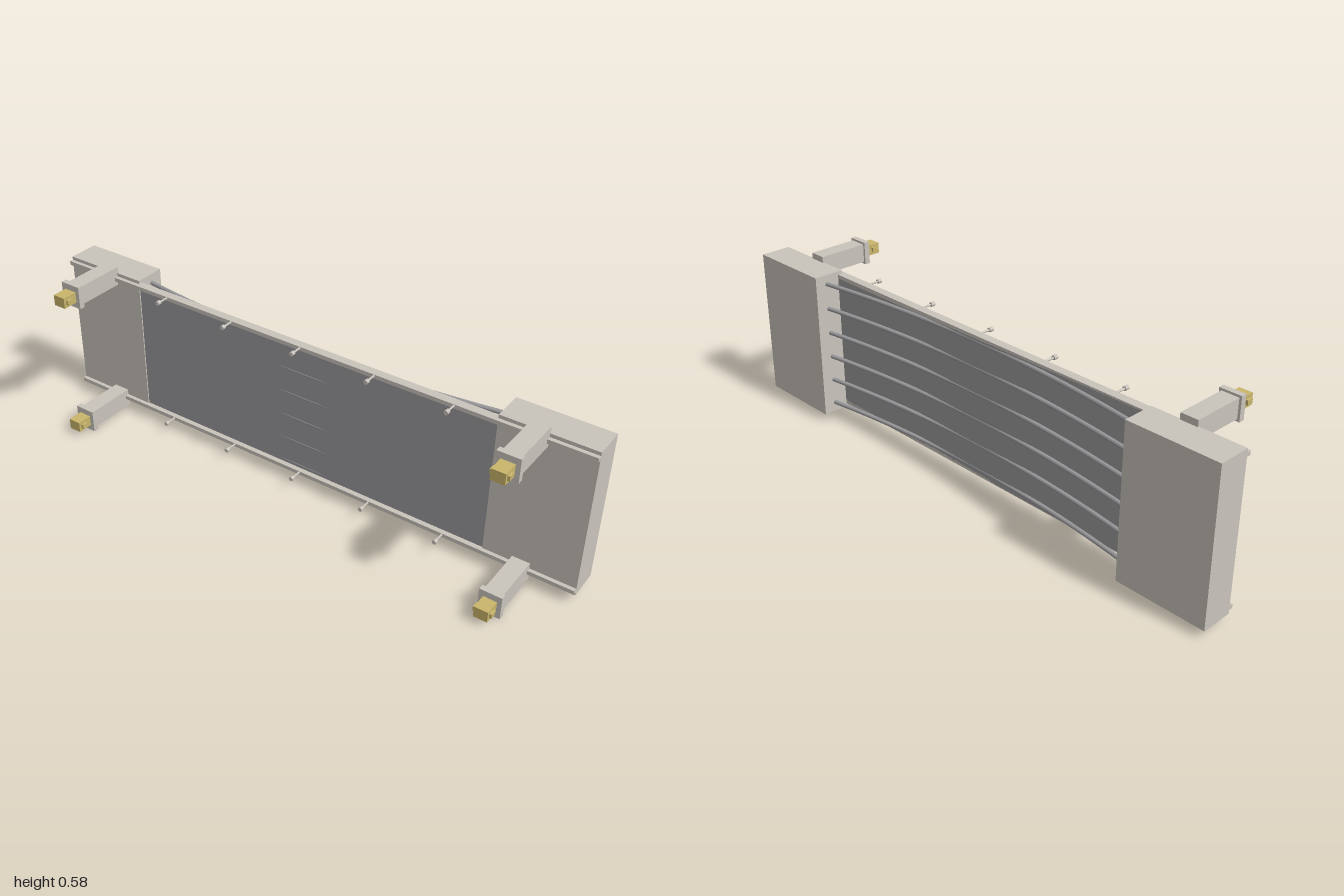
import * as THREE from 'three';

export function createModel() {
  const model = new THREE.Group();
  const mat = (name, color) => Object.assign(new THREE.MeshStandardMaterial({ color }), { name });
  const beige = mat('warm beige', 0xc9c4bc);
  const grey = mat('panel grey', 0x9a9a9d);
  const gold = mat('gold', 0xc8b56b);

  const add = (name, geometry, material, parent = model) => {
    const mesh = new THREE.Mesh(geometry, material);
    mesh.name = name;
    parent.add(mesh);
    return mesh;
  };
  // Box given by its lower and upper limits on each axis
  const box = (name, material, [x0, x1], [y0, y1], [z0, z1], parent) =>
    add(name, new THREE.BoxGeometry(x1 - x0, y1 - y0, z1 - z0), material, parent)
      .position.set((x0 + x1) / 2, (y0 + y1) / 2, (z0 + z1) / 2);

  // Flat panel between the end blocks
  box('panel', grey, [-0.686, 0.686], [0.045, 0.54], [-0.086, -0.074]);

  // End blocks
  for (const s of [-1, 1]) {
    const x = s * 0.843;
    box('endBlock', beige, [x - 0.157, x + 0.157], [0.03, 0.556], [-0.18, -0.07]);
  }

  // Bowed rods behind the panel, sunk into it at mid span
  const points = [];
  for (let i = -8; i <= 8; i++) {
    const t = i / 8;
    points.push(new THREE.Vector3(t * 0.7, 0, -0.08 - 0.056 * t * t));
  }
  const rod = new THREE.TubeGeometry(new THREE.CatmullRomCurve3(points), 32, 0.0075, 12);
  for (let i = 0; i < 6; i++) {
    add('rod', rod, grey).position.y = 0.065 + i * 0.0915;
  }

  // Long rails with a row of small headed pins
  const stem = new THREE.CylinderGeometry(0.0035, 0.0035, 0.045, 10).rotateX(Math.PI / 2);
  const head = new THREE.CylinderGeometry(0.0075, 0.0075, 0.014, 12).rotateX(Math.PI / 2);
  for (const y of [0.049, 0.537]) {
    box('rail', beige, [-1, 1], [y - 0.007, y + 0.007], [-0.086, -0.056]);
    for (let i = -2; i <= 2; i++) {
      const pin = new THREE.Group();
      pin.name = 'pin';
      pin.position.set(i * 0.275, y + 0.003, 0);
      add('pinStem', stem, beige, pin).position.z = -0.038;
      add('pinHead', head, beige, pin).position.z = -0.015;
      model.add(pin);
    }
  }

  // Four posts with collar, gold tip and cross pin
  for (const x of [-0.816, 0.816]) {
    for (const y of [0.0425, 0.5445]) {
      const post = new THREE.Group();
      post.name = 'post';
      post.position.set(x, y, 0);
      box('postBody', beige, [-0.03, 0.03], [-0.033, 0.033], [-0.075, 0.105], post);
      box('collar', beige, [-0.038, 0.038], [-0.0405, 0.0405], [0.105, 0.125], post);
      box('tip', gold, [-0.023, 0.023], [-0.019, 0.019], [0.125, 0.18], post);
      box('crossPin', gold, [-0.031, 0.031], [-0.008, 0.008], [0.148, 0.17], post);
      model.add(post);
    }
  }
  return model;
}
